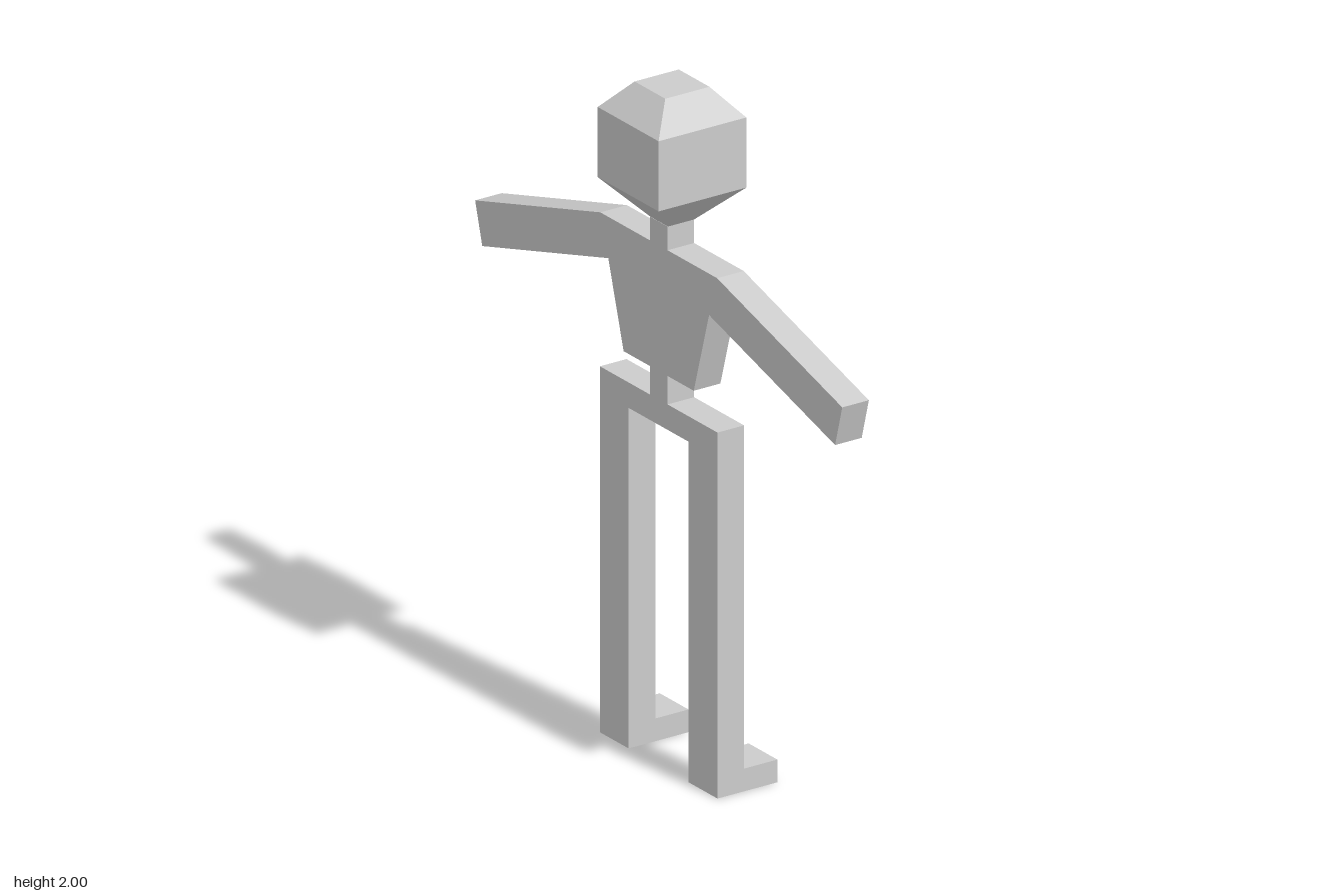
import * as THREE from 'three';

const BACK = -0.047, FRONT = 0.041, MID = (BACK + FRONT) / 2;
const material = new THREE.MeshStandardMaterial({ color: 0xcccccc, flatShading: true });

function addMesh(parent, name, geometry) {
  const mesh = new THREE.Mesh(geometry, material);
  mesh.name = name;
  parent.add(mesh);
  return mesh;
}

// Mirrors half an outline of [z, y] points and extrudes it through the body's thickness along x.
function slab(half) {
  const mirrored = half.map(([z, y]) => [-z, y]).reverse();
  const shape = new THREE.Shape([...half, ...mirrored].map(([z, y]) => new THREE.Vector2(z, y)));
  const geometry = new THREE.ExtrudeGeometry(shape, { depth: FRONT - BACK, bevelEnabled: false });
  return geometry.rotateY(Math.PI / 2).translate(BACK, 0, 0);
}

export function createModel() {
  const model = new THREE.Group();
  model.name = 'figure';

  // Head: a square profile that tapers to the neck and to a small flat crown
  const profile = [[0, 1.605], [0.043, 1.605], [0.145, 1.71], [0.145, 1.917], [0.073, 2], [0, 2]]
    .map(([halfWidth, y]) => new THREE.Vector2(halfWidth * Math.SQRT2, y));
  const head = new THREE.LatheGeometry(profile, 4).rotateY(Math.PI / 4).translate(MID, 0, 0);
  addMesh(model, 'head', head);

  // Neck, torso, outstretched arms and waist in one flat piece
  addMesh(model, 'upperBody', slab([
    [0.042, 1.08], [0.042, 1.164], [0.167, 1.164], [0.24, 1.413],
    [0.84, 1.239], [0.874, 1.362], [0.278, 1.535], [0.042, 1.535], [0.042, 1.605],
  ]));

  // Hips and both legs
  addMesh(model, 'hipsAndLegs', slab([
    [0.143, 1.005], [0.143, 0], [0.28, 0], [0.28, 1.08],
  ]));

  // Feet, pointing towards +x
  for (const [name, side] of [['frontFoot', 1], ['backFoot', -1]]) {
    const foot = addMesh(model, name, new THREE.BoxGeometry(0.11, 0.067, 0.137));
    foot.position.set(FRONT + 0.055, 0.0335, side * 0.2115);
  }
  return model;
}
